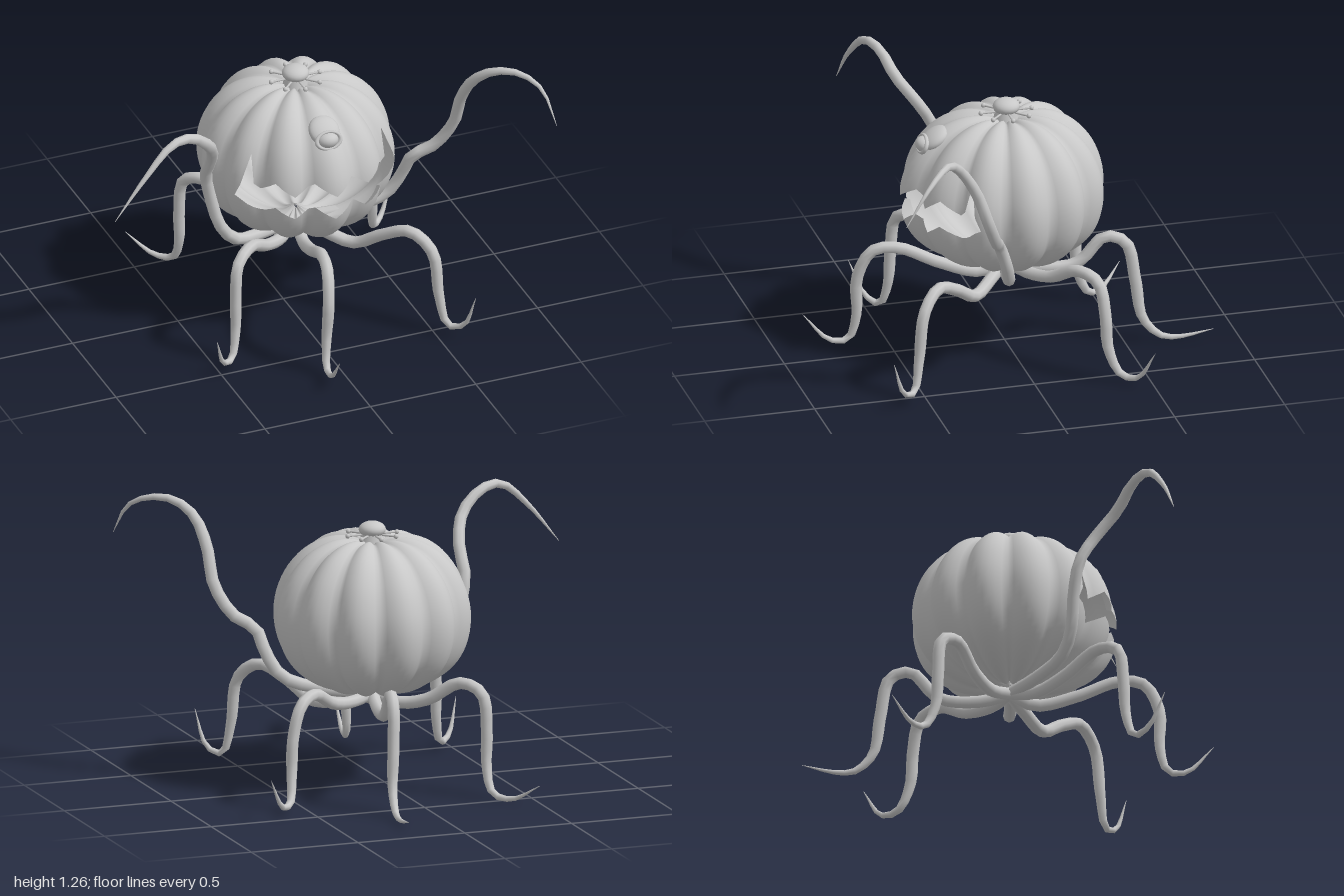
import * as THREE from 'three';

const CX = 0.055, CZ = 0.007;
const V = (x, y, z) => new THREE.Vector3(x, y, z);

// Lobe outline (radius, height) from the underside to the stem
const profile = new THREE.SplineCurve([
  [0.01, 0.47], [0.08, 0.435], [0.17, 0.44], [0.27, 0.48], [0.36, 0.55], [0.415, 0.64], [0.438, 0.75],
  [0.427, 0.86], [0.38, 0.97], [0.30, 1.06], [0.2, 1.112], [0.1, 1.12], [0.01, 1.09],
].map(([r, y]) => new THREE.Vector2(r, y)));

// Find where the outline reaches a height
function paramAt(y) {
  let a = 0.17, b = 0.83;
  for (let k = 0; k < 24; k++) {
    const m = (a + b) / 2;
    if (profile.getPoint(m).y < y) a = m; else b = m;
  }
  return a;
}

// Point on the twelve-lobed skin, with the face pushed slightly forward
function skin(theta, t) {
  const p = profile.getPoint(THREE.MathUtils.clamp(t, 0, 1));
  const groove = 1 - Math.abs(Math.cos(6 * theta));
  const face = 1 + 0.1 * Math.max(0, Math.cos(theta)) ** 6;
  const r = p.x * (1 - 0.1 * groove) * face;
  const y = 0.77 + (p.y - 0.77) * (1 - 0.05 * groove);
  return V(CX + r * Math.sin(theta), y, CZ + r * Math.cos(theta));
}

// Outward direction of the skin, softened across the grooves
function skinNormal(theta, t) {
  const across = skin(theta + 0.04, t).sub(skin(theta - 0.04, t));
  const up = skin(theta, t + 0.01).sub(skin(theta, t - 0.01));
  return across.cross(up).normalize();
}

const COLS = 96, ROWS = 22, SEAM = 0.74;

// Toothed mouth edges, by column counted from the middle of the face
function mouthEdge(i, upper) {
  const k = Math.abs(i);
  if (k >= 16) return SEAM;
  if (k > 12) return (upper ? [0.81, 0.94, 0.8] : [0.68, 0.7, 0.725])[k - 13];
  const wave = Math.abs((k % 6) - 3) / 3;
  return upper ? 0.845 - 0.06 * wave : 0.725 - 0.06 * wave;
}

function halfShell(upper) {
  const pos = [], norm = [], index = [], seam = paramAt(SEAM);
  for (let i = 0; i <= COLS; i++) {
    const col = i - COLS / 2, theta = col / COLS * Math.PI * 2;
    const edge = paramAt(mouthEdge(col, upper));
    for (let j = 0; j <= ROWS; j++) {
      const t = upper ? Math.max(edge, seam + (1 - seam) * j / ROWS) : Math.min(edge, seam * j / ROWS);
      pos.push(...skin(theta, t).toArray());
      norm.push(...skinNormal(theta, t).toArray());
      if (i < COLS && j < ROWS) {
        const a = i * (ROWS + 1) + j, b = a + ROWS + 1;
        index.push(a, b, b + 1, a, b + 1, a + 1);
      }
    }
  }
  const g = new THREE.BufferGeometry();
  g.setAttribute('position', new THREE.Float32BufferAttribute(pos, 3));
  g.setAttribute('normal', new THREE.Float32BufferAttribute(norm, 3));
  g.setIndex(index);
  return g;
}

// Round tube that narrows to a point
function tentacle(points, radius = 0.029) {
  const curve = new THREE.CatmullRomCurve3(points.map(p => V(...p)));
  const segs = 28, sides = 8;
  const g = new THREE.TubeGeometry(curve, segs, radius, sides);
  const pos = g.attributes.position, v = V(0, 0, 0);
  for (let i = 0; i <= segs; i++) {
    const u = i / segs, c = curve.getPointAt(u);
    const s = u < 0.65 ? 1 - 0.15 * u : 0.9 * Math.max(0.02, (1 - u) / 0.35) ** 0.8;
    for (let j = 0; j <= sides; j++) {
      const n = i * (sides + 1) + j;
      v.fromBufferAttribute(pos, n).sub(c).multiplyScalar(s).add(c);
      pos.setXYZ(n, v.x, v.y, v.z);
    }
  }
  return g;
}

const ROOT = [CX, 0.42, CZ];
const limbs = {
  backLeg: [[0.08, 0.38, -0.12], [0.11, 0.39, -0.3], [0.13, 0.51, -0.42], [0.15, 0.48, -0.51], [0.165, 0.3, -0.55],
    [0.18, 0.12, -0.58], [0.195, 0.035, -0.66], [0.205, 0.025, -0.74], [0.22, 0.05, -0.89]],
  frontLeg: [[0.04, 0.37, 0.12], [0.01, 0.42, 0.3], [-0.015, 0.5, 0.48], [-0.035, 0.49, 0.59], [-0.055, 0.36, 0.655],
    [-0.065, 0.18, 0.655], [-0.08, 0.06, 0.69], [-0.09, 0.06, 0.77], [-0.1, 0.19, 0.89]],
  frontLeftLeg: [[0.15, 0.38, 0.1], [0.25, 0.35, 0.2], [0.34, 0.43, 0.31], [0.43, 0.485, 0.42], [0.5, 0.41, 0.5],
    [0.52, 0.2, 0.53], [0.55, 0.06, 0.56], [0.6, 0.08, 0.62], [0.635, 0.24, 0.675]],
  frontRightLeg: [[-0.05, 0.39, 0.1], [-0.16, 0.43, 0.2], [-0.29, 0.515, 0.32], [-0.375, 0.48, 0.39], [-0.395, 0.32, 0.41],
    [-0.4, 0.16, 0.42], [-0.43, 0.05, 0.45], [-0.49, 0.07, 0.5], [-0.545, 0.22, 0.56]],
  backLeftLeg: [[0.16, 0.4, -0.05], [0.29, 0.42, -0.13], [0.41, 0.49, -0.22], [0.5, 0.46, -0.29], [0.545, 0.32, -0.31],
    [0.555, 0.17, -0.32], [0.58, 0.05, -0.37], [0.64, 0.05, -0.43], [0.715, 0.19, -0.49]],
  backRightLeg: [[-0.03, 0.39, -0.1], [-0.13, 0.42, -0.2], [-0.24, 0.505, -0.3], [-0.31, 0.47, -0.39], [-0.325, 0.3, -0.41],
    [-0.32, 0.15, -0.42], [-0.33, 0.04, -0.47], [-0.39, 0.025, -0.55], [-0.48, 0.1, -0.655]],
  rightArm: [[-0.13, 0.43, 0.09], [-0.29, 0.47, 0.16], [-0.37, 0.56, 0.18], [-0.42, 0.72, 0.18], [-0.45, 0.86, 0.2],
    [-0.45, 0.98, 0.27], [-0.5, 1.1, 0.36], [-0.6, 1.185, 0.4], [-0.71, 1.195, 0.44], [-0.85, 1.08, 0.475], [-1.0, 0.9, 0.49]],
  leftArm: [[0.26, 0.44, 0.06], [0.44, 0.5, 0.1], [0.505, 0.6, 0.13], [0.54, 0.71, 0.17], [0.63, 0.77, 0.21], [0.7, 0.9, 0.265],
    [0.71, 1.05, 0.32], [0.74, 1.18, 0.4], [0.81, 1.245, 0.47], [0.9, 1.25, 0.54], [0.97, 1.2, 0.62], [1.0, 1.06, 0.72]],
};

export function createModel() {
  const group = new THREE.Group();
  const grey = new THREE.MeshStandardMaterial({ color: 0xc8c8c8, side: THREE.DoubleSide });
  grey.name = 'grey';
  const add = (name, geometry, x = 0, y = 0, z = 0, parent = group) => {
    const m = new THREE.Mesh(geometry, grey);
    m.name = name;
    m.position.set(x, y, z);
    parent.add(m);
    return m;
  };

  // Hollow gourd body, split by the mouth
  add('upperBody', halfShell(true));
  add('lowerBody', halfShell(false));

  // Single almond eye sunk under a low brow
  const eye = new THREE.Group();
  eye.name = 'eye';
  eye.position.set(CX, 1.012, 0.372);
  eye.rotation.x = -0.4;
  group.add(eye);
  add('eyeball', new THREE.SphereGeometry(0.05, 20, 14), 0, 0, 0, eye).scale.y = 0.75;
  add('eyelidRim', new THREE.TorusGeometry(0.056, 0.01, 8, 24), 0, 0, 0.018, eye).scale.y = 0.68;
  const brow = add('brow', new THREE.SphereGeometry(0.07, 20, 14), CX, 1.04, 0.335);
  brow.scale.set(1, 0.5, 1.05);
  brow.rotation.x = 0.6;

  // Stem cap ringed by beaded pins
  const stem = new THREE.Group();
  stem.name = 'stem';
  stem.position.set(CX, 1.13, CZ);
  group.add(stem);
  add('stemBase', new THREE.CylinderGeometry(0.045, 0.06, 0.06, 16), 0, -0.015, 0, stem);
  add('stemCap', new THREE.SphereGeometry(0.06, 20, 12), 0, 0.025, 0, stem).scale.y = 0.6;
  for (let i = 0; i < 8; i++) {
    const pin = new THREE.Group();
    pin.name = 'pin';
    pin.rotation.y = i * Math.PI / 4;
    stem.add(pin);
    add('pinShaft', new THREE.CylinderGeometry(0.005, 0.005, 0.07, 6), 0.08, 0.003, 0, pin).rotation.z = Math.PI / 2;
    add('pinBead', new THREE.SphereGeometry(0.011, 8, 6), 0.115, 0.003, 0, pin);
  }

  // Legs and raised arms, all sprouting from under the body
  for (const [name, path] of Object.entries(limbs)) add(name, tentacle([ROOT, ...path]));
  return group;
}
